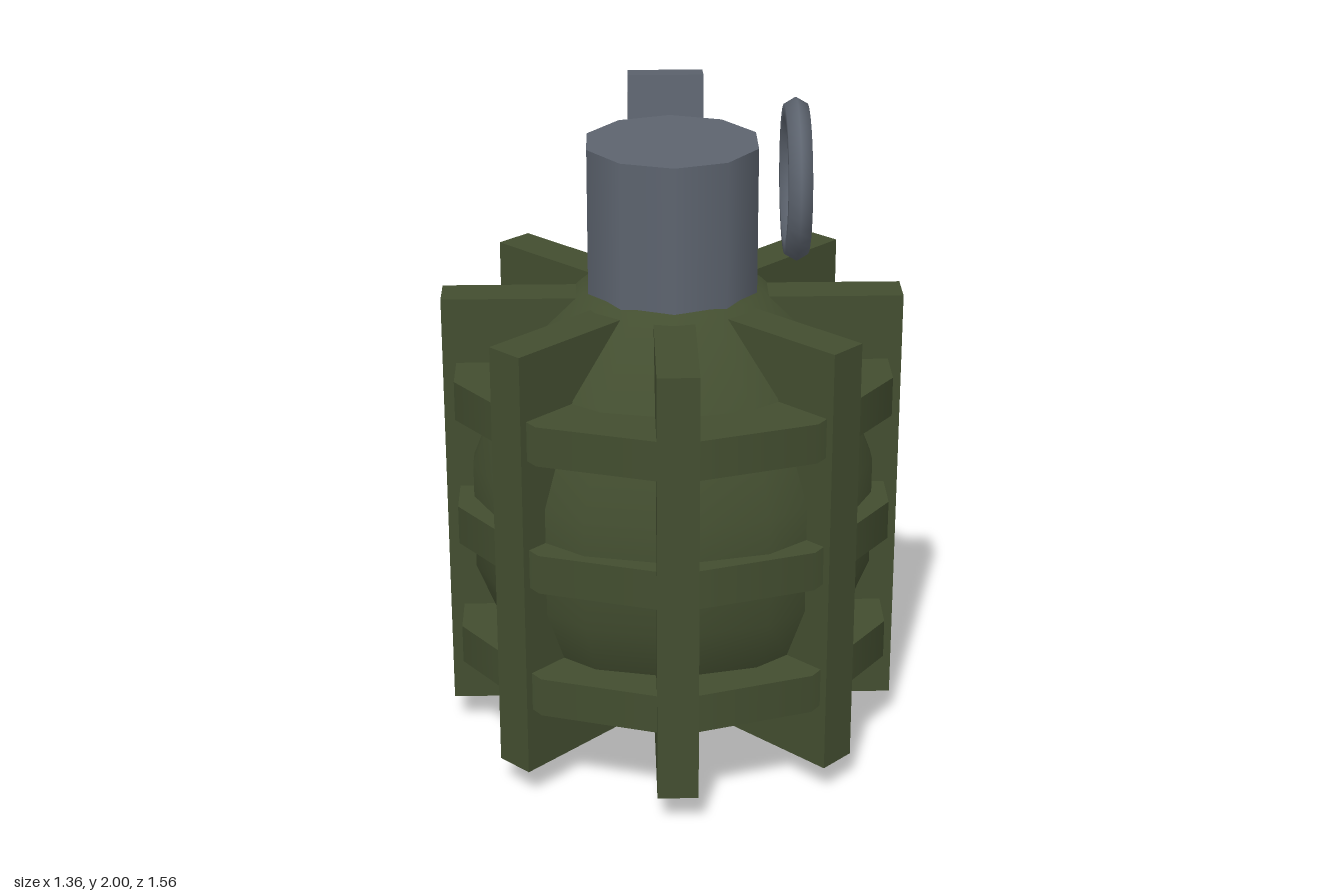
import * as THREE from 'three';

export function createModel() {
  const green = new THREE.MeshStandardMaterial({ color: 0x434e30 });
  green.name = 'olive green';
  const steel = new THREE.MeshStandardMaterial({ color: 0x5d646f });
  steel.name = 'steel grey';

  const model = new THREE.Group();
  model.name = 'grenade';
  // everything but the lever sits on an axis slightly in front of centre
  const core = new THREE.Group();
  core.name = 'core';
  core.position.z = 0.098;
  model.add(core);

  const add = (parent, name, geometry, material, x, y, z) => {
    const mesh = new THREE.Mesh(geometry, material);
    mesh.name = name;
    mesh.position.set(x, y, z);
    parent.add(mesh);
    return mesh;
  };

  // egg-shaped body
  const body = add(core, 'body', new THREE.SphereGeometry(0.626, 14, 7), green, 0, 0.757, 0);
  body.scale.y = 0.757 / 0.626;
  body.rotation.y = Math.PI / 2;

  // horizontal bands
  for (const y of [0.36, 0.76, 1.16]) {
    add(core, 'band', new THREE.CylinderGeometry(0.673, 0.673, 0.12, 10), green, 0, y, 0);
  }

  // eight vertical ribs, each running from the axis outwards
  for (let i = 0; i < 8; i++) {
    const a = (i * Math.PI) / 4;
    const rib = add(core, 'rib', new THREE.BoxGeometry(0.12, 1.325, 0.56), green,
      Math.sin(a) * 0.4, 0.7575, Math.cos(a) * 0.4);
    rib.rotation.y = a;
  }

  // fuse neck
  add(core, 'neck', new THREE.CylinderGeometry(0.26, 0.26, 0.48, 10), steel, 0, 1.64, 0);

  // pull ring
  const ring = add(core, 'pullRing', new THREE.TorusGeometry(0.199, 0.039, 6, 32), steel, 0.36, 1.762, 0);
  ring.rotation.y = Math.PI / 2;

  // leaning safety lever at the back
  const lever = add(model, 'lever', new THREE.BoxGeometry(0.24, 1.4, 0.12), steel, 0, 1.159, -0.627);
  lever.rotation.x = -0.138;

  return model;
}
